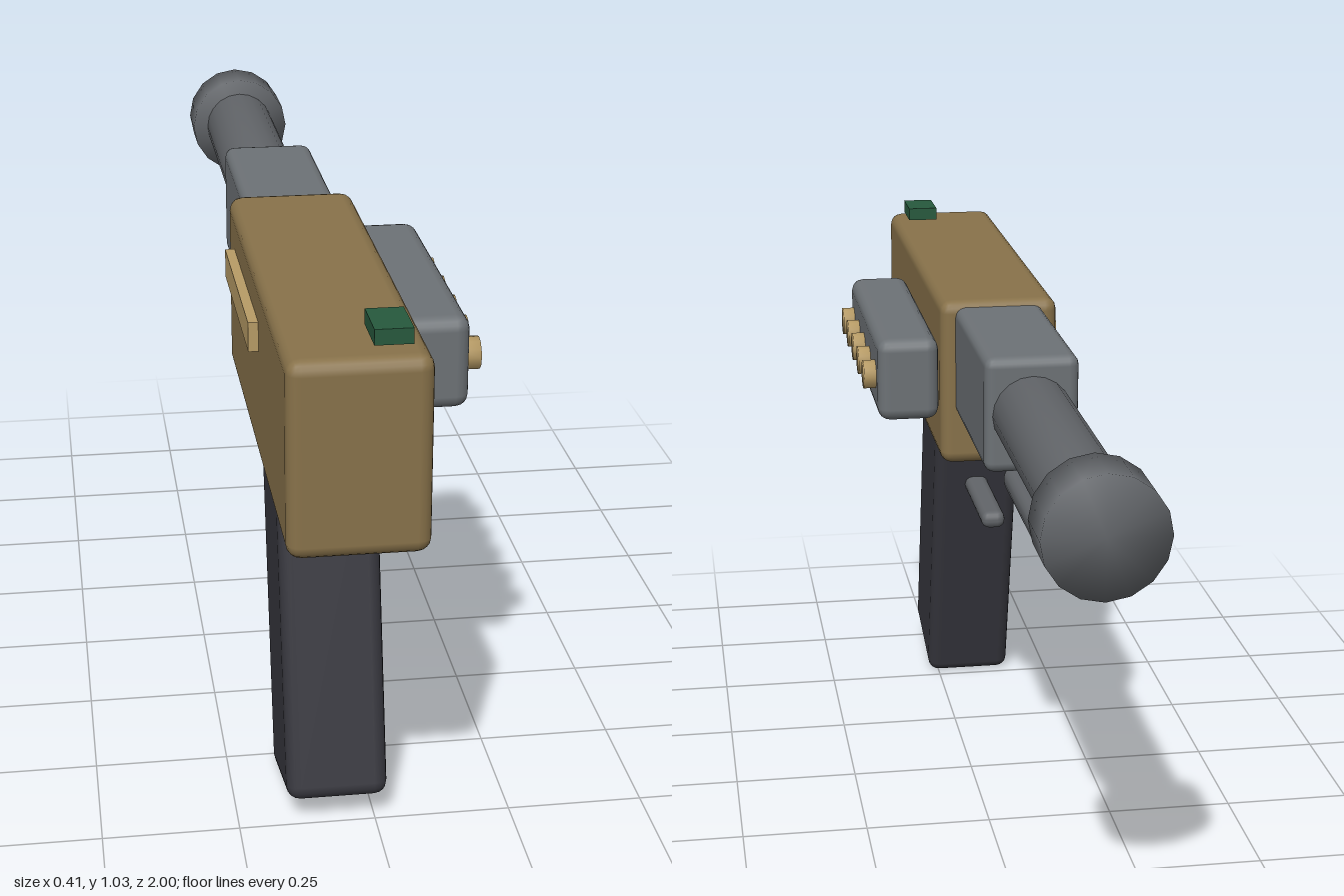
import * as THREE from 'three';
import { mergeVertices } from 'three/addons/utils/BufferGeometryUtils.js';
import { RoundedBoxGeometry } from 'three/addons/geometries/RoundedBoxGeometry.js';

const material = (name, color) => {
  const m = new THREE.MeshStandardMaterial({ color });
  m.name = name;
  return m;
};

export function createModel() {
  const model = new THREE.Group();
  model.name = 'toyBlaster';

  const bronze = material('bronze', 0x88724a);
  const steel = material('steel', 0x6d7276);
  const gunmetal = material('gunmetal', 0x626569);
  const charcoal = material('charcoal', 0x37373e);
  const brass = material('brass', 0xb89c66);
  const green = material('green', 0x27593d);

  const add = (name, geometry, mat, x, y, z) => {
    const mesh = new THREE.Mesh(geometry, mat);
    mesh.name = name;
    mesh.position.set(x, y, z);
    model.add(mesh);
    return mesh;
  };
  const rounded = (w, h, d, r) => new RoundedBoxGeometry(w, h, d, 2, r);

  // Cylinder whose caps and side share softened normals
  const softCylinder = (radius, length, sides) => {
    const g = new THREE.CylinderGeometry(radius, radius, length, sides);
    g.deleteAttribute('normal');
    g.deleteAttribute('uv');
    const merged = mergeVertices(g);
    merged.computeVertexNormals();
    return merged;
  };

  const cx = -0.07; // centre line of the main parts

  // Main body and the narrower receiver behind it
  add('body', rounded(0.24, 0.345, 0.92, 0.025), bronze, cx, 0.8275, 0.54);
  add('receiver', rounded(0.18, 0.225, 0.42, 0.02), steel, cx, 0.875, -0.105);

  // Barrel and muzzle
  add('barrel', softCylinder(0.076, 0.62, 20), gunmetal, cx, 0.876, -0.6).rotation.x = Math.PI / 2;
  add('muzzle', softCylinder(0.109, 0.11, 16), gunmetal, cx, 0.876, -0.945).rotation.x = Math.PI / 2;

  // Rail under the barrel
  add('rail', rounded(0.08, 0.05, 0.455, 0.022), gunmetal, cx, 0.722, -0.433);

  // Slanted grip and trigger
  add('grip', rounded(0.185, 0.65, 0.25, 0.025), charcoal, cx, 0.34, 0.565).rotation.x = -0.245;
  add('trigger', rounded(0.05, 0.037, 0.29, 0.017), gunmetal, cx, 0.505, 0.285);

  // Side module with a row of knobs
  add('sideModule', rounded(0.125, 0.171, 0.575, 0.025), steel, 0.1175, 0.8425, 0.3525);
  for (let i = 0; i < 5; i++) {
    add('knob' + (i + 1), softCylinder(0.03, 0.04, 12), brass, 0.185, 0.842, 0.136 + i * 0.111)
      .rotation.z = Math.PI / 2;
  }

  // Inlay strip on the other side, and the sight on top
  add('sideStrip', new THREE.BoxGeometry(0.03, 0.054, 0.41), brass, -0.193, 0.898, 0.395);
  add('sight', new THREE.BoxGeometry(0.064, 0.027, 0.1), green, -0.0125, 1.0215, 0.908);

  return model;
}
